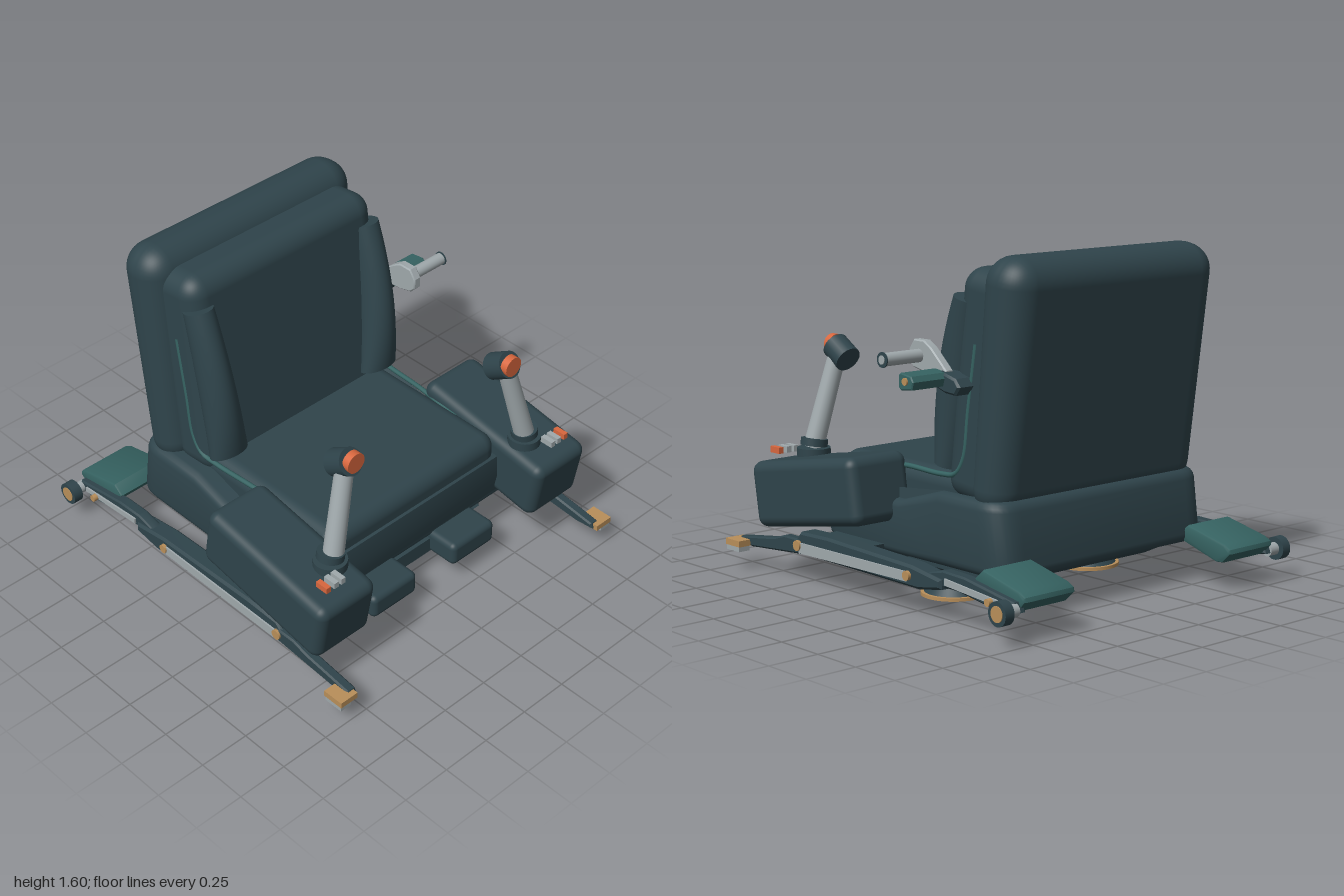
import * as THREE from 'three';
import { toCreasedNormals } from 'three/addons/utils/BufferGeometryUtils.js';
import { RoundedBoxGeometry } from 'three/addons/geometries/RoundedBoxGeometry.js';

const material = (name, color) => {
  const m = new THREE.MeshStandardMaterial({ color });
  m.name = name;
  return m;
};

export function createModel() {
  const slate = material('dark slate', 0x2f444b);
  const teal = material('teal', 0x366362);
  const steel = material('steel grey', 0xa0a9ac);
  const brass = material('brass', 0xb98f5a);
  const orange = material('orange', 0xd8673e);

  const model = new THREE.Group();
  model.name = 'pilotSeat';

  const add = (name, geometry, mat, x = 0, y = 0, z = 0, tilt = 0) => {
    const mesh = new THREE.Mesh(geometry, mat);
    mesh.name = name;
    mesh.position.set(x, y, z);
    mesh.rotation.x = tilt;
    model.add(mesh);
    return mesh;
  };
  const rounded = (w, h, d, r) => new RoundedBoxGeometry(w, h, d, 5, r);

  // Side profile of [z, y] points, extruded across x around a centre
  const prism = (name, mat, points, x, width, bevel = 0.012, segments = 1) => {
    const shape = new THREE.Shape(points.map(([z, y]) => new THREE.Vector2(z, y)));
    const g = new THREE.ExtrudeGeometry(shape, {
      depth: width - 2 * bevel, bevelEnabled: bevel > 0, bevelSize: bevel,
      bevelThickness: bevel, bevelOffset: -bevel, bevelSegments: segments,
    });
    g.rotateY(-Math.PI / 2);
    g.translate(width / 2 - bevel, 0, 0);
    return add(name, toCreasedNormals(g, 0.55), mat, x);
  };

  // Round bar between two points
  const rod = (name, mat, a, b, r0, r1 = r0, sides = 24) => {
    const from = new THREE.Vector3(...a), to = new THREE.Vector3(...b);
    const dir = to.clone().sub(from);
    const mesh = add(name, new THREE.CylinderGeometry(r1, r0, dir.length(), sides), mat);
    mesh.position.copy(from).add(to).multiplyScalar(0.5);
    mesh.quaternion.setFromUnitVectors(new THREE.Vector3(0, 1, 0), dir.normalize());
    return mesh;
  };
  const lathe = (name, mat, points, x, z) => add(name, toCreasedNormals(
    new THREE.LatheGeometry(points.map(p => new THREE.Vector2(...p)), 40), 0.6), mat, x, 0, z);

  // Seat tub: plan with round rear corners, its rim rising to the back by rule
  const plan = new THREE.Shape();
  plan.moveTo(0.62, -0.54).lineTo(0.655, -0.46).lineTo(0.655, 0).lineTo(0.655, 0.27).lineTo(0.655, 0.53);
  plan.quadraticCurveTo(0.655, 0.67, 0.52, 0.67).lineTo(-0.52, 0.67).quadraticCurveTo(-0.655, 0.67, -0.655, 0.53);
  plan.lineTo(-0.655, 0.27).lineTo(-0.655, 0).lineTo(-0.655, -0.46).lineTo(-0.62, -0.54);
  const tub = new THREE.ExtrudeGeometry(plan, {
    depth: 0.24, bevelSize: 0.045, bevelThickness: 0.045, bevelOffset: -0.045, bevelSegments: 4, curveSegments: 8,
  }).rotateX(-Math.PI / 2);
  const tp = tub.attributes.position;
  for (let i = 0; i < tp.count; i++) {
    const t = (tp.getY(i) + 0.045) / 0.33, z = tp.getZ(i);
    const rim = 0.45 + 0.08 * THREE.MathUtils.clamp(-z / 0.27, 0, 1);
    tp.setY(i, 0.19 + t * (rim - 0.19));
    if (z < -0.4) tp.setZ(i, z - 0.045 * (1 - t));
  }
  add('seatTub', toCreasedNormals(tub, 0.55), slate);

  // Cushion, front body and underframe
  add('seatCushion', rounded(1.1, 0.26, 0.985, 0.075), slate, 0, 0.47, 0.0675);
  prism('seatFront', slate, [[0.53, 0.49], [0.575, 0.485], [0.582, 0.37], [0.56, 0.26], [0.5, 0.2],
    [0.2, 0.2], [0.2, 0.49]], 0, 1.16, 0.03, 4);
  prism('underframe', slate, [[0.52, 0.17], [0.47, 0.21], [-0.58, 0.21], [-0.6, 0.17], [-0.46, 0.105], [0.45, 0.11]],
    0, 1.0, 0.02);
  prism('crossBeam', slate, [[0.45, 0.23], [0.1, 0.23], [0.12, 0.11], [0.24, 0.11]], 0, 1.48, 0);
  add('centrePlate', new THREE.BoxGeometry(0.3, 0.08, 0.2), slate, 0, 0.15, 0.44);

  // Backrest shell, thinner towards the bottom
  const shell = rounded(1.28, 1.16, 0.28, 0.13);
  const pos = shell.attributes.position;
  for (let i = 0; i < pos.count; i++) {
    pos.setZ(i, pos.getZ(i) * (0.87 + 0.22 * pos.getY(i)));
  }
  add('backrestShell', shell, slate, 0, 1.02, -0.59, -0.11);
  add('backrestCushion', rounded(1.15, 1.06, 0.3, 0.1), slate, 0, 1.0, -0.413, -0.115);

  for (const s of [1, -1]) {
    // Side bolster: an upright oval column bent and tapered by rule
    const bolster = new THREE.CylinderGeometry(1, 1, 1, 28, 14);
    const p = bolster.attributes.position;
    for (let i = 0; i < p.count; i++) {
      const t = p.getY(i) + 0.5;
      const front = -0.127 - 0.2 * (t - 0.15) ** 2, back = -0.27 - 0.14 * t;
      const rx = 0.072 + 0.03 * (1 - t) * (1 - t);
      const px = p.getX(i), pz = p.getZ(i);
      p.setXYZ(i, s * (0.59 - rx) + px * rx, 0.63 + 0.76 * t + pz * 0.02,
        (front + back) / 2 + pz * (front - back) / 2);
    }
    add('sideBolster', toCreasedNormals(bolster, 0.7), slate);

    // Piping running down the back and along the seat
    const path = new THREE.CatmullRomCurve3([[0.568, 1.2, -0.44], [0.568, 0.9, -0.39], [0.568, 0.68, -0.355],
      [0.568, 0.605, -0.3], [0.56, 0.588, -0.2], [0.545, 0.588, 0.05], [0.525, 0.57, 0.3]]
      .map(([x, y, z]) => new THREE.Vector3(s * x, y, z)));
    add('piping', new THREE.TubeGeometry(path, 48, 0.012, 10), teal);

    // Armrest console
    add('armConsole', rounded(0.342, 0.315, 0.78, 0.05), slate, s * 0.7, 0.44, 0.437, 0.166);
    [[0.775, orange], [0.728, steel], [0.687, steel]].forEach(([x, mat]) =>
      add('consoleButton', new THREE.BoxGeometry(0.026, 0.03, 0.068), mat, s * x, 0.593, 0.75));

    // Control stick
    const bx = s * 0.635;
    rod('stickBase', slate, [bx, 0.56, 0.645], [bx, 0.603, 0.645], 0.08);
    rod('stickCollar', slate, [bx, 0.61, 0.645], [s * 0.63, 0.645, 0.645], 0.065);
    rod('stickShaft', steel, [s * 0.63, 0.6, 0.655], [s * 0.515, 1.04, 0.61], 0.05, 0.043);
    rod('stickHead', slate, [s * 0.505, 1.02, 0.54], [s * 0.505, 1.08, 0.638], 0.065);
    rod('thumbButton', orange, [s * 0.5, 1.083, 0.63], [s * 0.5, 1.083, 0.667], 0.05);

    // Suction foot
    lathe('footNeck', steel, [[0.1, 0.075], [0.1, 0.09], [0.055, 0.125], [0.055, 0.2]], s * 0.425, -0.125);
    lathe('footCup', slate, [[0, 0.07], [0.08, 0.065], [0.125, 0.01], [0.145, 0.01], [0.095, 0.08], [0, 0.085]],
      s * 0.425, -0.125);
    lathe('footRim', brass, [[0.122, 0], [0.157, 0], [0.157, 0.016], [0.122, 0.016], [0.122, 0]], s * 0.425, -0.125);

    // Front step pad
    add('stepPad', rounded(0.285, 0.125, 0.34, 0.03), slate, s * 0.2625, 0.165, 0.525);

    // Side arm: centre beam, front leg and rear leg
    prism('sideBeam', slate, [[0.56, 0.18], [0.5, 0.245], [0.3, 0.25], [-0.3, 0.23], [-0.5, 0.2],
      [-0.5, 0.155], [-0.35, 0.13], [0.5, 0.14]], s * 0.785, 0.1);
    prism('beamStrip', steel, [[0.52, 0.195], [-0.28, 0.2], [-0.28, 0.155], [0.5, 0.145]], s * 0.836, 0.014, 0);
    prism('frontLeg', slate, [[0.5, 0.21], [0.62, 0.21], [0.7, 0.185], [0.97, 0.148], [0.98, 0.12],
      [0.88, 0.11], [0.5, 0.14]], s * 0.815, 0.05, 0.008);
    prism('rearLeg', slate, [[-0.38, 0.21], [-0.5, 0.24], [-0.64, 0.235], [-0.95, 0.185], [-0.97, 0.14],
      [-0.86, 0.125], [-0.6, 0.165], [-0.45, 0.165]], s * 0.79, 0.058, 0.008);
    prism('rearStrip', steel, [[-0.52, 0.21], [-0.9, 0.175], [-0.9, 0.15], [-0.52, 0.18]], s * 0.822, 0.012, 0);
    [[0.51, 0.18, 0.025], [-0.285, 0.183, 0.022], [-0.82, 0.165, 0.017]].forEach(([z, y, r]) =>
      rod('pivotPin', brass, [s * 0.8, y, z], [s * 0.851, y, z], r));

    // Front toe
    add('toeCap', new THREE.BoxGeometry(0.1, 0.03, 0.11), brass, s * 0.855, 0.128, 0.945);
    add('toeSole', new THREE.BoxGeometry(0.06, 0.026, 0.1), steel, s * 0.872, 0.102, 0.945);

    // Rear wheel
    rod('wheelAxle', steel, [s * 0.8, 0.15, -0.945], [s * 0.86, 0.15, -0.945], 0.03);
    rod('wheel', slate, [s * 0.855, 0.15, -0.945], [s * 0.905, 0.15, -0.945], 0.055);
    rod('wheelCap', brass, [s * 0.9, 0.15, -0.945], [s * 0.909, 0.15, -0.945], 0.036);

    // Rear plate, a thick sloping wedge
    prism('rearPlate', teal, [[-0.67, 0.235], [-0.72, 0.278], [-0.95, 0.225], [-0.985, 0.205], [-0.99, 0.185],
      [-0.94, 0.138], [-0.9, 0.135], [-0.69, 0.2]], s * 0.64, 0.295, 0.012, 2);
  }

  // Side bracket on the left of the backrest
  prism('bracketPlate', steel, [[-0.068, 1.15], [-0.1, 1.195], [-0.17, 1.195], [-0.22, 1.165], [-0.32, 1.075],
    [-0.32, 1.03], [-0.24, 1.045], [-0.16, 1.055], [-0.095, 1.07], [-0.067, 1.1]], 0.617, 0.045, 0.006);
  prism('bracketMount', slate, [[-0.22, 1.05], [-0.3, 1.075], [-0.4, 1.05], [-0.43, 1.015], [-0.4, 0.975],
    [-0.33, 0.98], [-0.24, 1.01]], 0.605, 0.11, 0.01);
  prism('bracketBlock', teal, [[-0.235, 1.07], [-0.25, 1.08], [-0.32, 1.07], [-0.335, 1.045], [-0.325, 1.01],
    [-0.25, 1.003], [-0.235, 1.015]], 0.735, 0.21, 0.005);
  rod('bracketPin', brass, [0.8, 1.045, -0.285], [0.848, 1.045, -0.285], 0.017);
  rod('bracketBar', steel, [0.62, 1.125, -0.138], [0.848, 1.125, -0.138], 0.03);
  rod('bracketBarRing', slate, [0.845, 1.125, -0.138], [0.851, 1.125, -0.138], 0.035);
  rod('bracketBarCore', steel, [0.848, 1.125, -0.138], [0.855, 1.125, -0.138], 0.02);

  return model;
}
